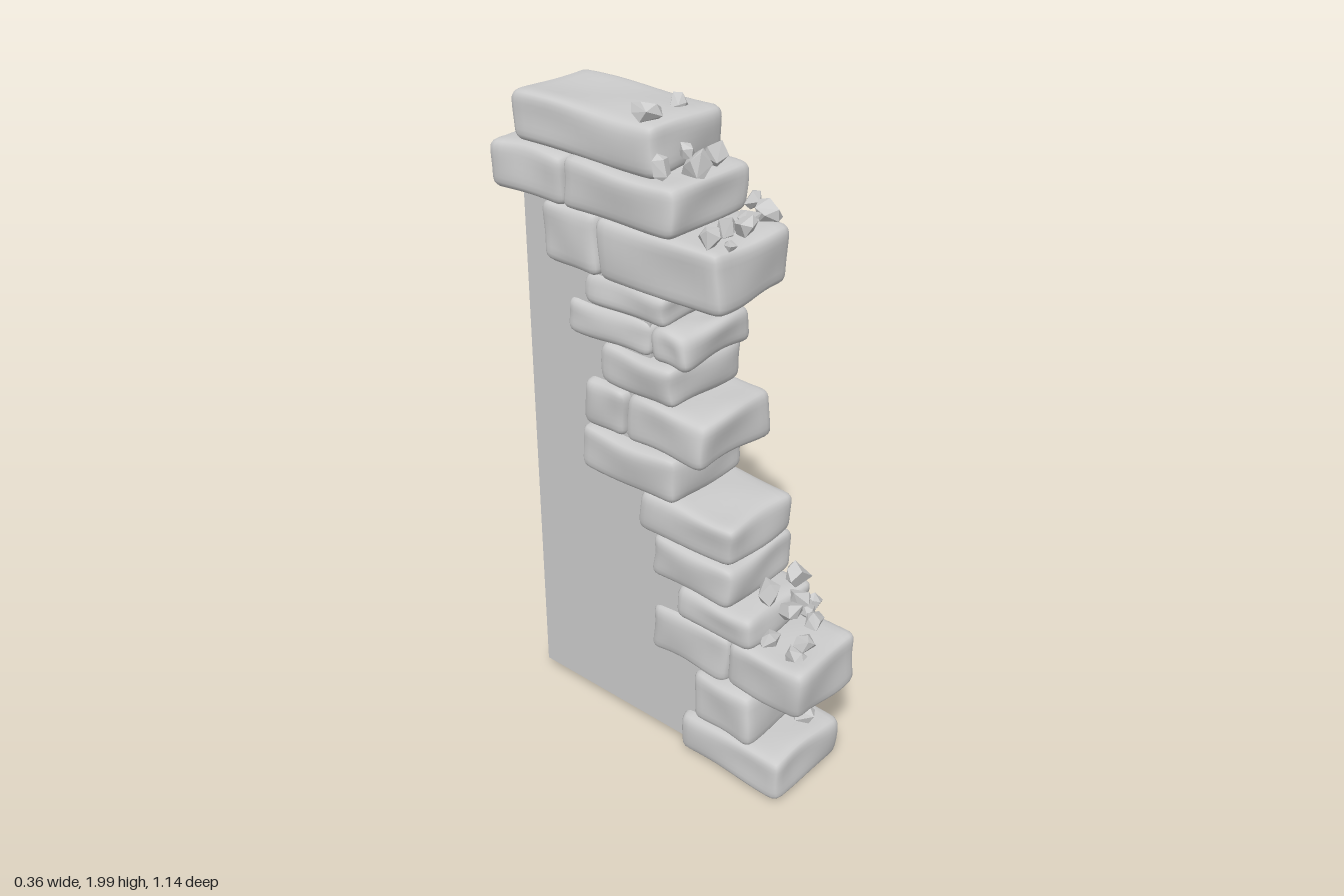
import * as THREE from 'three';
import { mergeVertices } from 'three/addons/utils/BufferGeometryUtils.js';
import { ConvexGeometry } from 'three/addons/geometries/ConvexGeometry.js';

const material = new THREE.MeshStandardMaterial({ color: 0xcccccc, roughness: 0.9 });

// small seeded random generator
function seeded(seed) {
  let s = seed * 7919 + 17;
  return () => (s = (s * 16807) % 2147483647) / 2147483647;
}

// worn block: a box with rounded edges, slightly skewed and dented
function stoneGeometry(w, h, d, seed) {
  const rnd = seeded(seed + 3);
  for (let i = 0; i < 5; i++) rnd();
  const half = new THREE.Vector3(w / 2, h / 2, d / 2);
  const r = 0.032;
  const inner = half.clone().subScalar(r);
  const low = inner.clone().negate();
  const phase = Array.from({ length: 6 }, () => rnd() * Math.PI * 2);
  const skew = Array.from({ length: 4 }, () => (rnd() - 0.5) * 0.07);

  let geo = new THREE.BoxGeometry(2, 2, 2, 14, 12, 14);
  geo.deleteAttribute('normal');
  geo.deleteAttribute('uv');
  geo = mergeVertices(geo);
  const pos = geo.attributes.position;
  const p = new THREE.Vector3(), c = new THREE.Vector3();
  for (let i = 0; i < pos.count; i++) {
    p.fromBufferAttribute(pos, i);
    // crowd the grid towards the edges, then round them off
    p.set(...p.toArray().map((t) => Math.sin(t * Math.PI / 2))).multiply(half);
    c.copy(p).clamp(low, inner);
    p.sub(c).setLength(r).add(c);
    const u = p.x / half.x, v = p.y / half.y, t = p.z / half.z;
    // gentle taper and uneven faces
    p.x *= 1 + skew[0] * t + skew[1] * v;
    p.y *= 1 + skew[2] * u + skew[3] * t;
    p.x += 0.005 * Math.sin(3 * t + phase[0]) * Math.cos(2 * v + phase[1]);
    p.y += 0.005 * Math.sin(3 * u + phase[2]) * Math.cos(3 * t + phase[3]);
    p.z += 0.007 * Math.sin(2.5 * u + phase[4]) * Math.cos(2 * v + phase[5]);
    pos.setXYZ(i, p.x, p.y, p.z);
  }
  geo.computeVertexNormals();
  return geo;
}

// sharp broken fragment: hull of scattered points
function fragmentGeometry(size, seed) {
  const rnd = seeded(seed + 40);
  for (let i = 0; i < 5; i++) rnd();
  const points = [];
  for (let i = 0; i < 10; i++) {
    const a = i * 2.4 + rnd(), y = -1 + (2 * (i + 0.5)) / 10, q = Math.sqrt(1 - y * y);
    const k = size * (0.8 + 0.35 * rnd());
    points.push(new THREE.Vector3(q * Math.cos(a) * k, y * k * 0.8, q * Math.sin(a) * k));
  }
  return new ConvexGeometry(points);
}

// courses: y bottom, y top, x min, x max, then z positions of the joints
const COURSES = [
  [0.005, 0.15, -0.165, 0.145, [0.13, 0.51]],
  [0.15, 0.325, -0.165, 0.15, [0.175, 0.4]],
  [0.315, 0.485, -0.145, 0.14, [0, 0.29, 0.56]],
  [0.48, 0.592, -0.155, 0.145, [0.105, 0.385]],
  [0.59, 0.73, -0.155, 0.145, [0.005, 0.31]],
  [0.73, 0.865, -0.155, 0.145, [-0.035, 0.31]],
  [0.865, 1.01, -0.172, 0.155, [-0.245, 0.115]],
  [1.01, 1.162, -0.16, 0.148, [-0.245, -0.08, 0.215]],
  [1.16, 1.292, -0.16, 0.145, [-0.175, 0.105]],
  [1.285, 1.395, -0.15, 0.143, [-0.305, 0.01, 0.14]],
  [1.39, 1.49, -0.148, 0.14, [-0.235, 0.065]],
  [1.485, 1.665, -0.165, 0.152, [-0.38, -0.165, 0.26]],
  [1.66, 1.805, -0.172, 0.158, [-0.563, -0.285, 0.113]],
  [1.802, 1.945, -0.15, 0.145, [-0.49, 0.03]],
];

// fragments: x, y, z, size
const FRAGMENTS = [
  [-0.1, 1.965, -0.03, 0.042], [0.035, 1.955, -0.04, 0.032],
  [-0.13, 1.84, 0.045, 0.036], [-0.03, 1.83, 0.08, 0.046], [0.05, 1.835, 0.07, 0.042],
  [-0.03, 1.86, 0.04, 0.03],
  [-0.115, 1.685, 0.195, 0.036], [-0.03, 1.685, 0.175, 0.036], [0.0, 1.69, 0.215, 0.042],
  [0.06, 1.685, 0.18, 0.036], [0.11, 1.695, 0.2, 0.042], [0.14, 1.7, 0.135, 0.034],
  [-0.1, 1.675, 0.25, 0.02],
  [-0.09, 0.505, 0.5, 0.034], [-0.03, 0.51, 0.49, 0.036], [0.08, 0.505, 0.44, 0.036],
  [0.15, 0.5, 0.385, 0.032], [-0.08, 0.51, 0.4, 0.036], [0.1, 0.51, 0.4, 0.034],
  [0.0, 0.565, 0.41, 0.044], [0.06, 0.575, 0.4, 0.042],
  [-0.035, 0.625, 0.36, 0.042], [0.08, 0.635, 0.37, 0.046],
  [-0.085, 0.315, 0.535, 0.036],
];

export function createModel() {
  const group = new THREE.Group();
  const add = (name, geometry, parent) => {
    const mesh = new THREE.Mesh(geometry, material);
    mesh.name = name;
    parent.add(mesh);
    return mesh;
  };

  // plain wall core, its front edge hidden within the stones
  const outline = [[-0.468, 0.03], [0.2, 0.03], [0.25, 0.25], [0.22, 0.6], [0.12, 0.82],
    [0.0, 0.95], [0.0, 1.75], [-0.468, 1.75]];
  const shape = new THREE.Shape(outline.map(([z, y]) => new THREE.Vector2(-z, y)));
  const coreGeometry = new THREE.ExtrudeGeometry(shape, { depth: 0.24, bevelEnabled: false });
  coreGeometry.translate(0, 0, -0.12).rotateY(Math.PI / 2);
  add('wallCore', coreGeometry, group).position.x = -0.01;

  // stacked stones of the broken edge and the coping
  const stones = new THREE.Group();
  stones.name = 'stones';
  group.add(stones);
  COURSES.forEach(([y0, y1, x0, x1, joints], row) => {
    for (let i = 0; i + 1 < joints.length; i++) {
      const z0 = joints[i], z1 = joints[i + 1];
      const geo = stoneGeometry(x1 - x0, y1 - y0, z1 - z0, row * 5 + i);
      add('stone', geo, stones).position.set((x0 + x1) / 2, (y0 + y1) / 2, (z0 + z1) / 2);
    }
  });

  // loose fragments on the ledges
  const rubble = new THREE.Group();
  rubble.name = 'rubble';
  group.add(rubble);
  FRAGMENTS.forEach(([x, y, z, size], i) => {
    const fragment = add('fragment', fragmentGeometry(size, i), rubble);
    fragment.position.set(x, y, z);
    fragment.rotation.set(i * 0.7, i * 1.9, i * 0.4);
  });

  return group;
}
